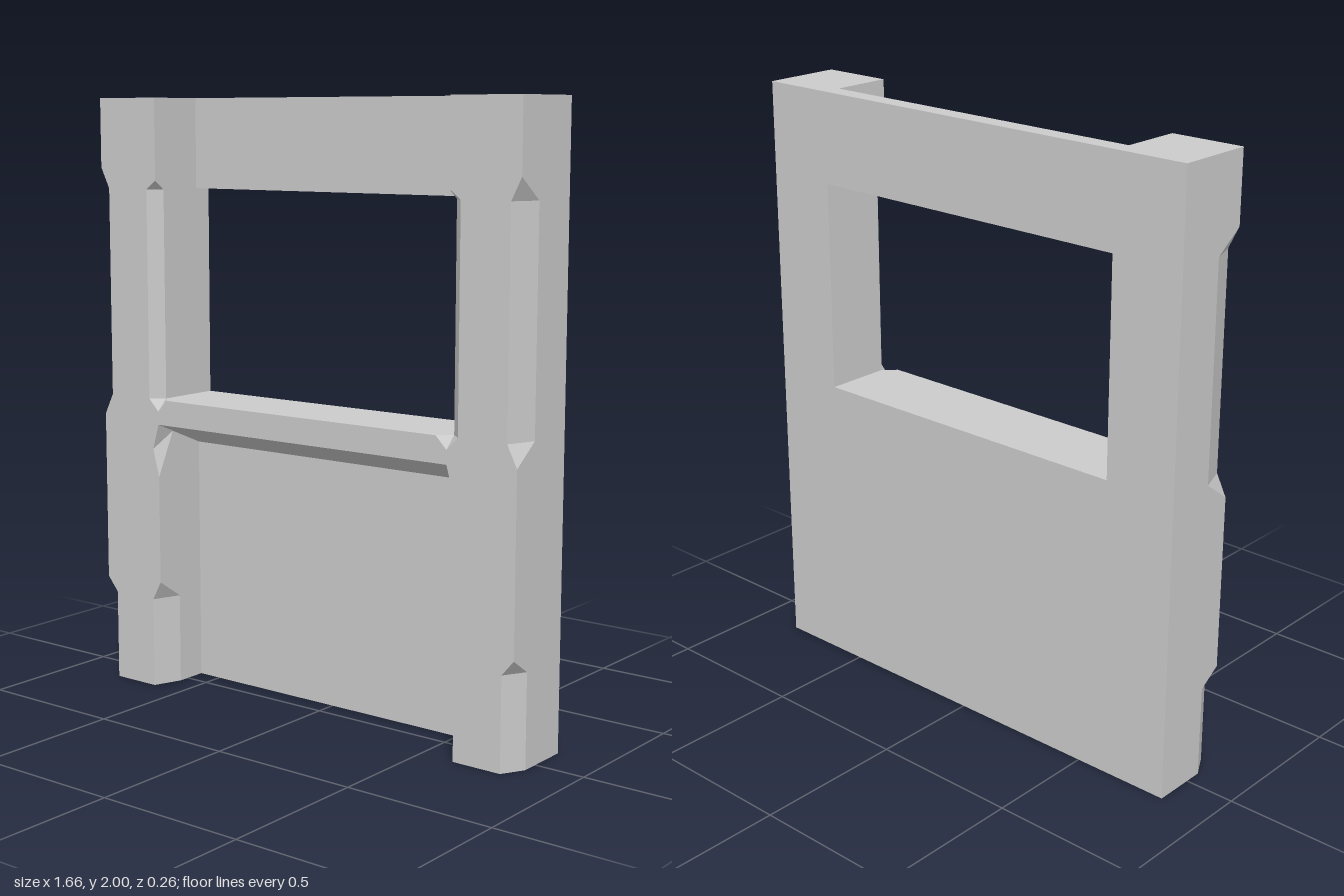
import * as THREE from 'three';

const IN = 0.585, OUT = 0.832, BACK = -0.132, FRONT = 0.132, PANEL = -0.07;
const material = new THREE.MeshStandardMaterial({ color: 0xcccccc, flatShading: true });

// Skins matching cross-section rings; points run counter-clockwise seen from the far end.
function loft(rings, capped) {
  const pos = [];
  const tri = (a, b, c) => {
    if (new THREE.Triangle(a, b, c).getArea() > 1e-8) {
      for (const p of [a, b, c]) pos.push(p.x, p.y, p.z);
    }
  };
  const n = rings[0].length;
  for (let i = 0; i < rings.length - 1; i++) {
    const r = rings[i], s = rings[i + 1];
    for (let j = 0; j < n; j++) {
      const k = (j + 1) % n;
      tri(r[j], r[k], s[k]);
      tri(r[j], s[k], s[j]);
    }
  }
  if (capped) {
    const first = rings[0], last = rings[rings.length - 1];
    for (let j = 1; j < n - 1; j++) {
      tri(first[0], first[j + 1], first[j]);
      tri(last[0], last[j], last[j + 1]);
    }
  }
  const geometry = new THREE.BufferGeometry();
  geometry.setAttribute('position', new THREE.Float32BufferAttribute(pos, 3));
  geometry.computeVertexNormals();
  return geometry;
}

// Chamfer keys: [height, cut across the front, cut into the depth, lift of the depth corner]
const outerCuts = [
  [0, 0.042, 0.075], [0.305, 0.042, 0.075], [0.355, 0, 0],
  [0.93, 0, 0], [1, 0.035, 0.095], [1.7, 0.035, 0.095], [1.77, 0, 0], [2, 0, 0],
];
const innerCuts = [
  [0, 0.035, 0.095], [0.305, 0.035, 0.095], [0.37, 0, 0],
  [0.735, 0, 0], [0.83, 0.025, 0.07, 0.055], [0.915, 0, 0],
  [0.96, 0, 0], [1, 0.04, 0.04], [1.7, 0.04, 0.04], [1.73, 0, 0], [2, 0, 0],
];

function cutAt(keys, y) {
  const i = Math.max(1, keys.findIndex((k) => k[0] >= y));
  const a = keys[i - 1], b = keys[i], t = (y - a[0]) / (b[0] - a[0]);
  return [1, 2, 3].map((c) => THREE.MathUtils.lerp(a[c] || 0, b[c] || 0, t));
}

// Post with stopped chamfers on both front edges
function postGeometry(side) {
  const heights = [...new Set([...outerCuts, ...innerCuts].map((k) => k[0]))].sort((a, b) => a - b);
  const rings = heights.map((y) => {
    const [ox, oz] = cutAt(outerCuts, y);
    const [ix, iz, lift] = cutAt(innerCuts, y);
    const ring = [
      [IN, y, BACK], [IN, y + lift, FRONT - iz], [IN + ix, y, FRONT],
      [OUT - ox, y, FRONT], [OUT, y, FRONT - oz], [OUT, y, BACK],
    ].map(([px, py, pz]) => new THREE.Vector3(side * px, py, pz));
    return side > 0 ? ring : ring.reverse();
  });
  return loft(rings, true);
}

// Lower panel and projecting sill, with small notches at the sill's end corners
function sillPanelGeometry() {
  const sections = [[-IN, 0.04], [-IN + 0.04, 0], [IN - 0.04, 0], [IN, 0.04]];
  return loft(sections.map(([x, cut]) => [
    [BACK, 0], [BACK, 1], [FRONT - cut, 1], [FRONT, 1 - cut],
    [FRONT, 0.915], [PANEL, 0.83], [PANEL, 0],
  ].map(([z, y]) => new THREE.Vector3(x, y, z))), false);
}

export function createModel() {
  const group = new THREE.Group();
  const add = (name, geometry) => {
    const mesh = new THREE.Mesh(geometry, material);
    mesh.name = name;
    group.add(mesh);
    return mesh;
  };

  add('leftPost', postGeometry(1));
  add('rightPost', postGeometry(-1));
  add('lowerPanelWithSill', sillPanelGeometry());

  // Thin wall above the opening
  const lintel = add('lintel', new THREE.BoxGeometry(IN * 2, 0.3, PANEL - BACK));
  lintel.position.set(0, 1.85, (PANEL + BACK) / 2);

  return group;
}
